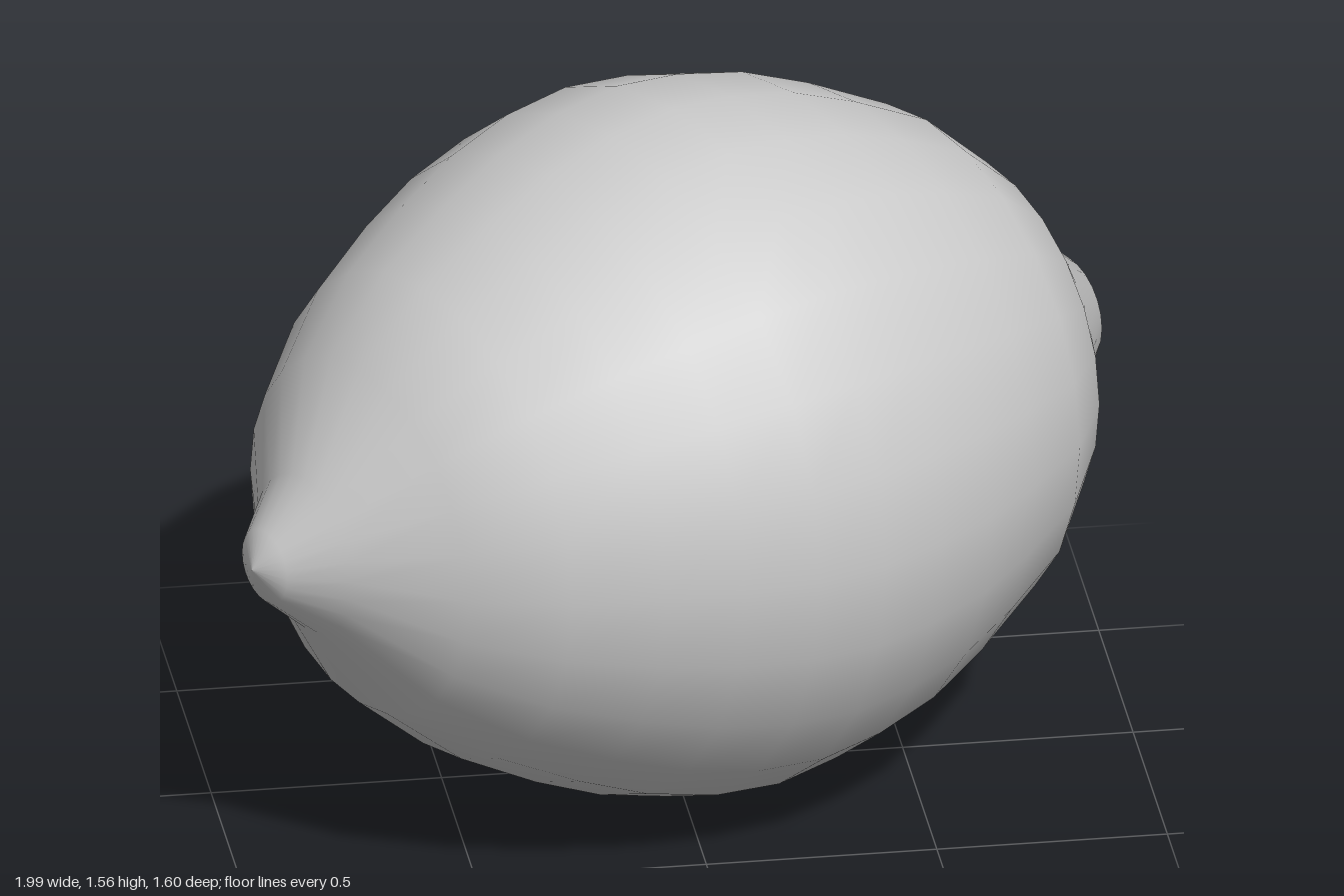
import * as THREE from 'three';

export function createModel() {
  const group = new THREE.Group();
  group.name = 'lemon';

  // Outline along the fruit's long axis: [radius, distance from the middle]
  const profile = [
    [0, -1.114], [0.083, -1.08], [0.178, -0.973], [0.398, -0.83],
    [0.545, -0.66], [0.645, -0.482], [0.716, -0.325], [0.764, -0.16],
    [0.782, 0], [0.766, 0.158], [0.727, 0.322], [0.658, 0.486],
    [0.56, 0.675], [0.415, 0.832], [0.192, 0.973], [0.121, 1.052], [0, 1.106],
  ].map(([r, t]) => new THREE.Vector2(r, t));

  // Turned body with a pointed nub at each end, laid down and swung diagonally
  const geometry = new THREE.LatheGeometry(profile, 24);
  geometry.rotateZ(-Math.PI / 2);
  geometry.rotateY(THREE.MathUtils.degToRad(27.5));
  geometry.translate(0, 0.782, 0);

  const fruit = new THREE.Mesh(geometry, new THREE.MeshStandardMaterial({ color: 0xcccccc }));
  fruit.name = 'fruitBody';
  group.add(fruit);
  return group;
}
